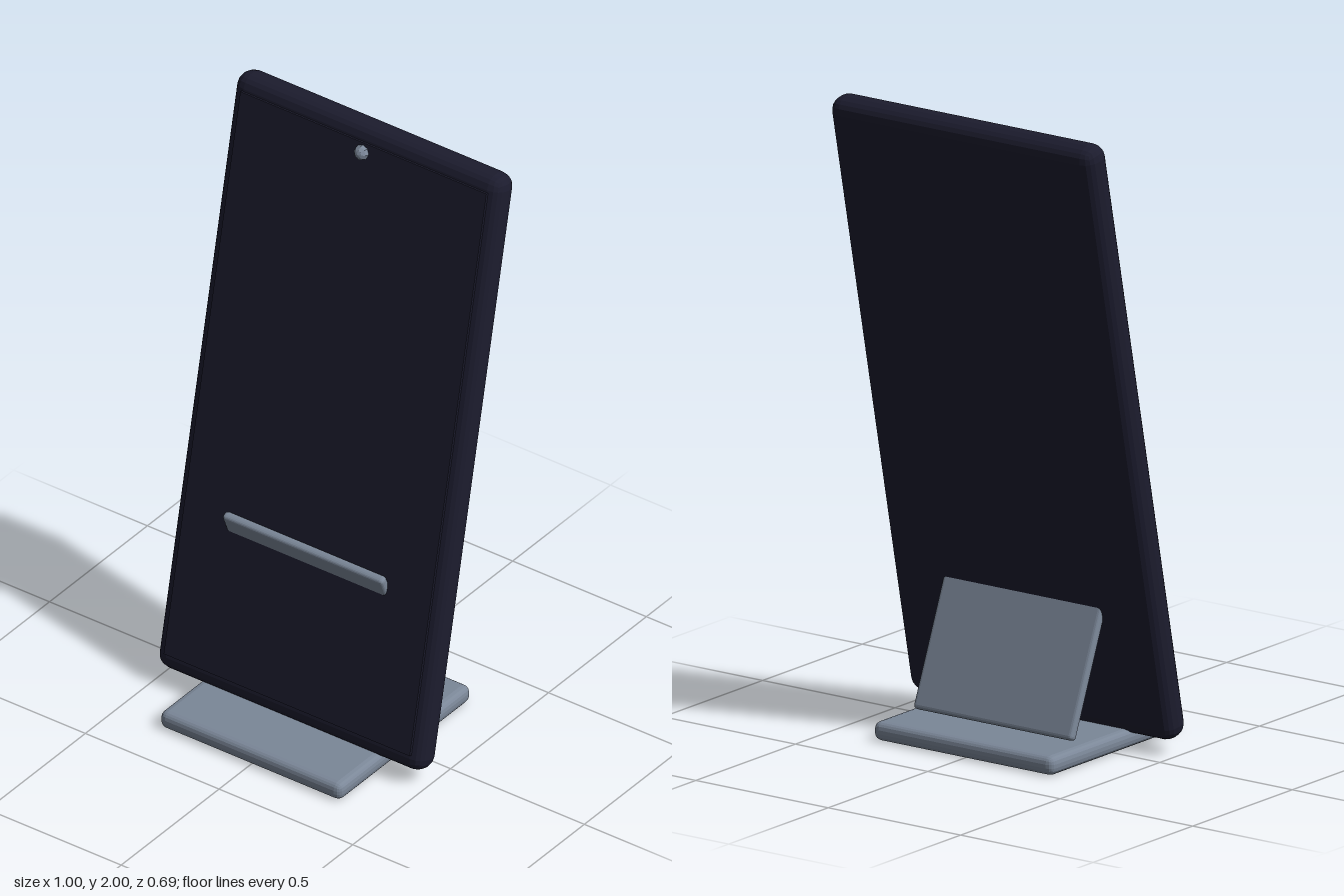
import * as THREE from 'three';
import { RoundedBoxGeometry } from 'three/addons/geometries/RoundedBoxGeometry.js';

export function createModel() {
  const dark = new THREE.MeshStandardMaterial({ color: 0x1c1c2e, flatShading: true });
  dark.name = 'dark navy';
  const grey = new THREE.MeshStandardMaterial({ color: 0x7b8798, flatShading: true });
  grey.name = 'blue grey';

  const model = new THREE.Group();
  model.name = 'deviceOnStand';

  function add(parent, name, geometry, material, x, y, z) {
    const mesh = new THREE.Mesh(geometry, material);
    mesh.name = name;
    mesh.position.set(x, y, z);
    parent.add(mesh);
    return mesh;
  }

  // Flat base and the tilted rest plate, which passes through the device
  add(model, 'base', new RoundedBoxGeometry(0.68, 0.06, 0.675, 2, 0.024), grey, 0, 0.03, 0.0085);
  const rest = add(model, 'restPlate', new RoundedBoxGeometry(0.6, 0.625, 0.03, 2, 0.012), grey, 0, 0.36, -0.05);
  rest.rotation.x = THREE.MathUtils.degToRad(22);

  // Device leaning back, with raised screen and camera bead
  const device = new THREE.Group();
  device.name = 'device';
  device.position.set(0, 1.0225, -0.0975);
  device.rotation.x = THREE.MathUtils.degToRad(-12);
  model.add(device);
  add(device, 'body', new RoundedBoxGeometry(1, 1.996, 0.1, 2, 0.045), dark, 0, 0, 0);
  add(device, 'screen', new THREE.BoxGeometry(0.92, 1.885, 0.009), dark, 0, 0.003, 0.0535);
  const lens = add(device, 'cameraLens', new THREE.SphereGeometry(0.025, 8, 6), grey, 0, 0.914, 0.059);
  lens.rotation.x = Math.PI / 2;

  return model;
}
